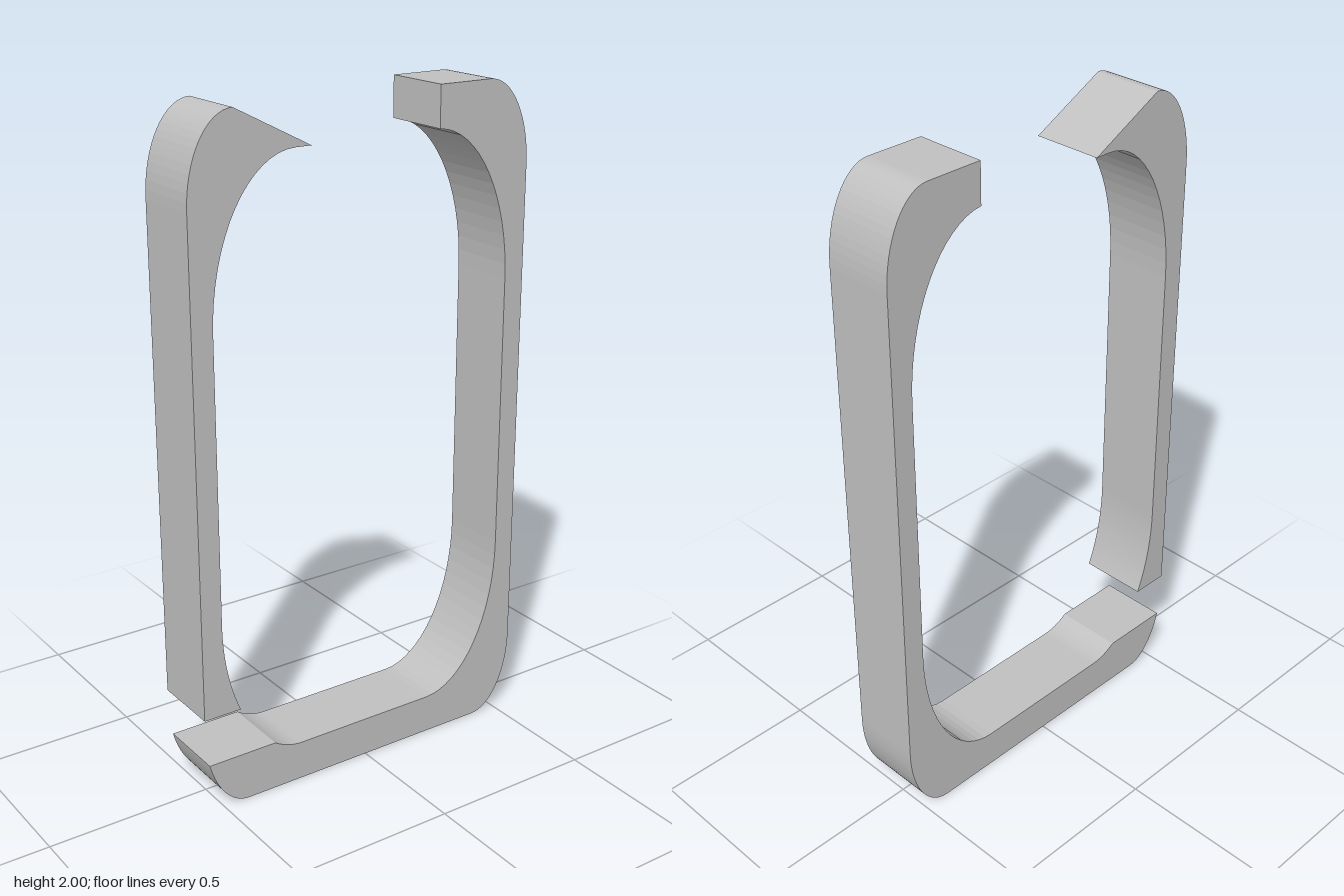
import * as THREE from 'three';

const DEPTH = 0.215;
const PI = Math.PI;
// corner ellipses: centre offsets and radii, outer and inner
const OUT = { x: 0.415, lo: 0.25, hi: 1.75, rx: 0.14, ry: 0.25 };
const INN = { x: 0.23, lo: 0.58, hi: 1.42, rx: 0.26, ry: 0.46 };

// adds one rounded corner, joined by a straight edge to the previous point
function corner(shape, e, side, level, from, to, clockwise) {
  shape.absellipse(side * e.x, e[level], e.rx, e.ry, from, to, clockwise, 0);
}

// ellipse angle in the lower left corner at height y
const lowerLeftAngle = (e, y) => PI + Math.asin((e.lo - y) / e.ry);

function bar(name, shape, material) {
  const geometry = new THREE.ExtrudeGeometry(shape, {
    depth: DEPTH, bevelEnabled: false, curveSegments: 8,
  });
  geometry.translate(0, 0, -DEPTH / 2);
  const mesh = new THREE.Mesh(geometry, material);
  mesh.name = name;
  return mesh;
}

export function createModel() {
  const group = new THREE.Group();
  group.name = 'openFrame';
  const grey = new THREE.MeshStandardMaterial({ color: 0xc0c0c0 });
  grey.name = 'light grey';

  // short piece: upper right corner and upright of the frame
  const short = new THREE.Shape();
  short.moveTo(-0.18, 2);
  corner(short, OUT, -1, 'hi', PI / 2, PI, false);
  short.lineTo(-0.555, 0.3);
  corner(short, INN, -1, 'lo', lowerLeftAngle(INN, 0.3), PI, true);
  corner(short, INN, -1, 'hi', PI, PI / 2, true);
  short.lineTo(-0.18, 1.88);
  short.closePath();
  group.add(bar('shortFramePiece', short, grey));

  // long piece: left upright and bottom rail, ending below the gap
  const long = new THREE.Shape();
  long.moveTo(0.24, 2);
  long.lineTo(0.24, 1.88);
  corner(long, INN, 1, 'hi', Math.acos(0.01 / INN.rx), 0, true);
  corner(long, INN, 1, 'lo', 0, -PI / 2, true);
  corner(long, INN, -1, 'lo', 1.5 * PI, lowerLeftAngle(INN, 0.15), true);
  corner(long, OUT, -1, 'lo', lowerLeftAngle(OUT, 0.15), 1.5 * PI, false);
  corner(long, OUT, 1, 'lo', -PI / 2, 0, false);
  corner(long, OUT, 1, 'hi', 0, PI / 2, false);
  long.closePath();
  group.add(bar('longFramePiece', long, grey));

  return group;
}
